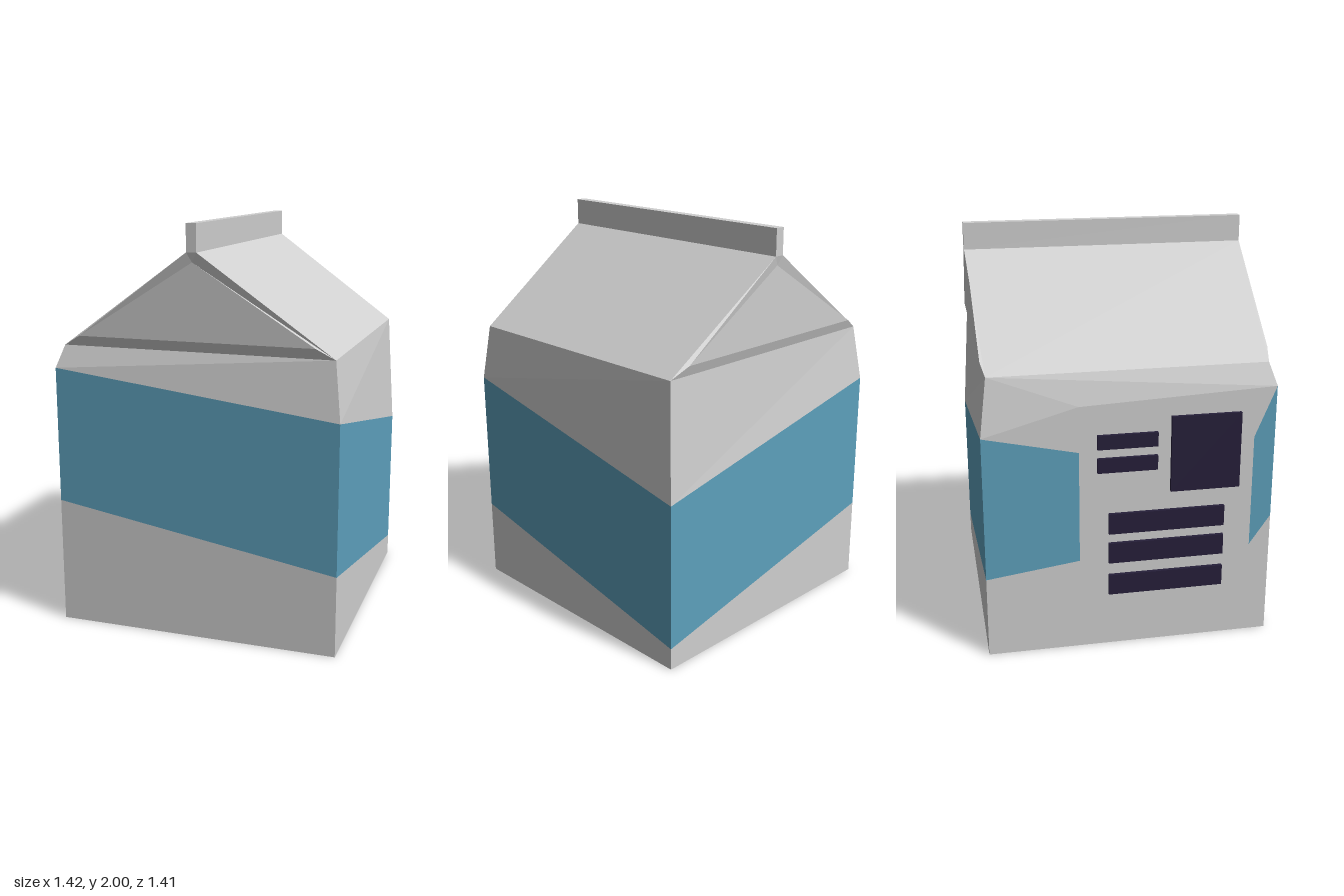
import * as THREE from 'three';

export function createModel() {
  const group = new THREE.Group();
  const material = (name, color) => {
    const m = new THREE.MeshStandardMaterial({ color });
    m.name = name;
    return m;
  };
  const card = material('greyCard', 0xcfcfcf);
  const blue = material('blueBand', 0x5da0bc);
  const ink = material('darkInk', 0x261f3a);

  const add = (name, geometry, mat) => {
    const mesh = new THREE.Mesh(geometry, mat);
    mesh.name = name;
    group.add(mesh);
    return mesh;
  };

  // Flat faces, each a loop of corners counterclockwise from outside
  const faces = (name, loops, mat) => {
    const pos = [];
    for (const p of loops) {
      for (let i = 1; i < p.length - 1; i++) pos.push(...p[0], ...p[i], ...p[i + 1]);
    }
    const g = new THREE.BufferGeometry();
    g.setAttribute('position', new THREE.Float32BufferAttribute(pos, 3));
    g.computeVertexNormals();
    return add(name, g, mat);
  };

  // Four upright corners: base position, band heights, eave point
  const L = -0.698, R = 0.708, D = 0.703;
  const corners = [
    { x: L, z: D, lo: 0.63, hi: 1.3, eave: [-0.66, 1.41, 0.667] },
    { x: R, z: D, lo: 0.4, hi: 1.13, eave: [0.675, 1.41, 0.667] },
    { x: R, z: -D, lo: 0.11, hi: 0.84, eave: [0.675, 1.41, -0.667] },
    { x: L, z: -D, lo: 0.41, hi: 1.13, eave: [-0.66, 1.41, -0.667] },
  ];
  const at = (c, y) => [c.x, y, c.z];

  // Front, +x side and back walls, each with a slanting band
  ['front', 'left', 'back'].forEach((side, i) => {
    const a = corners[i], b = corners[i + 1];
    faces(side + 'Wall', [
      [at(a, 0), at(b, 0), at(b, b.lo), at(a, a.lo)],
      [at(a, a.hi), at(b, b.hi), b.eave, a.eave],
    ], card);
    faces(side + 'Band', [[at(a, a.lo), at(b, b.lo), at(b, b.hi), at(a, a.hi)]], blue);
  });

  // Printed -x wall, drawn in (z, y): the band stops short on both sides
  const sidePlate = (name, points, mat) => {
    const shape = new THREE.Shape(points.map(([z, y]) => new THREE.Vector2(z, y)));
    const g = new THREE.ShapeGeometry(shape).rotateY(-Math.PI / 2).translate(L, 0, 0);
    add(name, g, mat);
  };
  const backBand = [[-D, 1.13], [-0.25, 1.03], [-0.25, 0.47], [-D, 0.41]];
  const frontBand = [[D, 0.63], [0.6, 0.48], [0.6, 1.05], [D, 1.3]];
  sidePlate('rightWall', [[-D, 0], [D, 0], ...frontBand, [-0.25, 1.256], ...backBand], card);
  sidePlate('rightBandBack', backBand, blue);
  sidePlate('rightBandFront', frontBand, blue);

  // Creased shoulder above the printed wall
  const [fl, fr, br, bl] = corners;
  const crease = [L, 1.256, -0.25];
  faces('rightShoulder', [
    [bl.eave, crease, at(fl, fl.hi), fl.eave],
    [bl.eave, at(bl, bl.hi), crease],
  ], card);

  faces('base', [[at(bl, 0), at(br, 0), at(fr, 0), at(fl, 0)]], card);

  // Roof slopes
  const ridge = (x, s) => [x, 1.87, s * D];
  const r0 = -0.017, r1 = 0.032;
  faces('roof', [
    [fr.eave, br.eave, ridge(r1, -1), ridge(r1, 1)],
    [bl.eave, fl.eave, ridge(r0, 1), ridge(r0, -1)],
  ], card);

  // Gable ends: a shallow rim around a folded triangular panel
  const gable = (name, A, B, C, E, s) => {
    const a = [-s * 0.575, 1.46, s * 0.685];
    const b = [s * 0.585, 1.46, s * 0.685];
    const top = [0.007, 1.825, s * 0.692];
    faces(name + 'Rim', [[A, B, b, a], [B, C, top, b], [C, E, top], [E, A, a, top]], card);
    faces(name + 'Panel', [[a, b, top]], card);
  };
  gable('frontGable', fl.eave, fr.eave, ridge(r1, 1), ridge(r0, 1), 1);
  gable('backGable', br.eave, bl.eave, ridge(r0, -1), ridge(r1, -1), -1);

  // Sealed fin along the ridge
  const fin = add('topFin', new THREE.BoxGeometry(r1 - r0, 0.13, 2 * D), card);
  fin.position.set((r0 + r1) / 2, 1.935, 0);

  // Raised print blocks on the -x wall: z0, z1, y0, y1
  [
    [0.19, 0.53, 0.805, 1.185],
    [-0.165, 0.125, 1.043, 1.113],
    [-0.165, 0.125, 0.925, 0.997],
    [-0.11, 0.46, 0.605, 0.71],
    [-0.11, 0.46, 0.45, 0.555],
    [-0.11, 0.46, 0.28, 0.385],
  ].forEach(([z0, z1, y0, y1], i) => {
    const block = add('printBlock' + (i + 1), new THREE.BoxGeometry(0.018, y1 - y0, z1 - z0), ink);
    block.position.set(L - 0.009, (y0 + y1) / 2, (z0 + z1) / 2);
  });

  return group;
}
